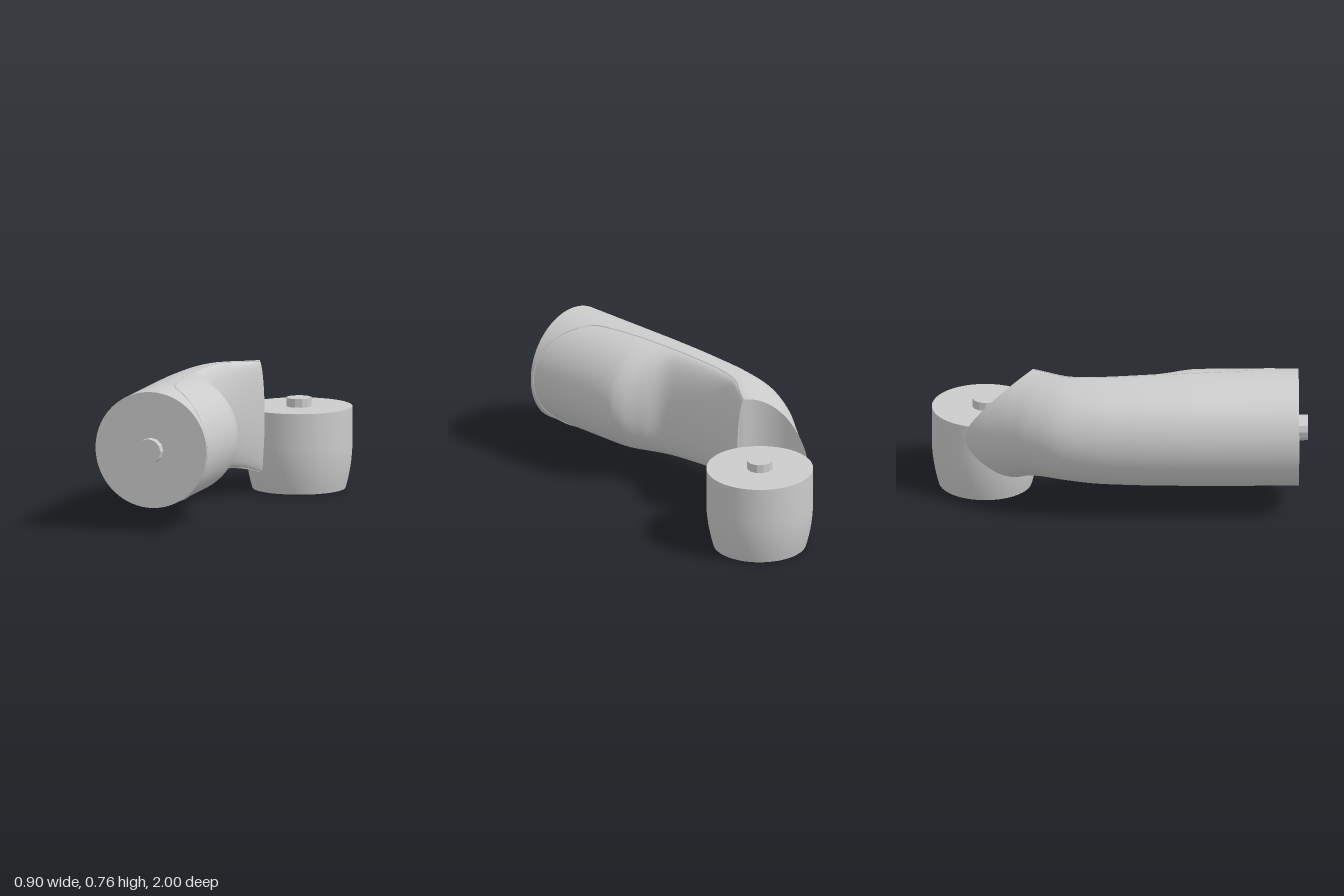
import * as THREE from 'three';
import { toCreasedNormals } from 'three/addons/utils/BufferGeometryUtils.js';

const CUP = { x: 0.16, z: -0.715, r: 0.285, top: 0.44 };
const rad = THREE.MathUtils.degToRad;

// Arm stations: outer x,z | crest x,z | inner x,z | top y, bottom y
const STATIONS = [
  [-0.45, 0.95, -0.14, 0.95, 0.17, 0.95, 0.755, 0.13],
  [-0.45, 0.70, -0.14, 0.70, 0.17, 0.70, 0.755, 0.13],
  [-0.45, 0.45, -0.14, 0.45, 0.17, 0.43, 0.755, 0.13],
  [-0.45, 0.36, -0.142, 0.36, 0.145, 0.34, 0.754, 0.132],
  [-0.449, 0.27, -0.145, 0.27, 0.07, 0.26, 0.752, 0.134],
  [-0.447, 0.18, -0.147, 0.18, -0.01, 0.17, 0.75, 0.136],
  [-0.443, 0.05, -0.15, 0.05, -0.038, 0.05, 0.745, 0.14],
  [-0.432, -0.15, -0.148, -0.13, -0.055, -0.12, 0.737, 0.148],
  [-0.40, -0.35, -0.12, -0.27, -0.055, -0.24, 0.729, 0.158],
  [-0.33, -0.50, -0.06, -0.36, -0.01, -0.34, 0.722, 0.15],
  [-0.26, -0.60, 0.00, -0.44, 0.035, -0.42, 0.716, 0.125],
  [-0.19, -0.70, 0.06, -0.54, 0.09, -0.52, 0.71, 0.08],
  [-0.10, -0.83, 0.13, -0.66, 0.15, -0.65, 0.705, 0.04],
  [-0.01, -0.93, 0.20, -0.78, 0.21, -0.77, 0.70, 0.02],
];
const LAST = STATIONS.length - 1;

// Smooth interpolation between stations
function station(t) {
  const i = Math.min(Math.floor(t), LAST - 1), f = t - i;
  const row = (k) => STATIONS[Math.max(0, Math.min(LAST, k))];
  return row(i).map((p1, k) => {
    const p0 = row(i - 1)[k], p2 = row(i + 1)[k], p3 = row(i + 2)[k];
    const m0 = (p2 - p0) / 2, m1 = (p3 - p1) / 2;
    return p1 + f * (m0 + f * (3 * (p2 - p1) - 2 * m0 - m1 + f * (2 * (p1 - p2) + m0 + m1)));
  });
}

// Point on the arm skin; angle 0 is the inner side, 90 degrees the crest
function armPoint(t, angle) {
  const [ox, oz, cx, cz, ix, iz, top, bottom] = station(t);
  const c = Math.cos(angle), k = Math.abs(c);
  const [sx, sz] = c > 0 ? [ix, iz] : [ox, oz];
  return new THREE.Vector3(
    cx + k * (sx - cx),
    (top + bottom) / 2 + Math.sin(angle) * (top - bottom) / 2,
    cz + k * (sz - cz)
  );
}

const cupRadius = (y) => CUP.r - 0.037 * Math.max(0, 1 - y / 0.25) ** 2;

// Station at which a line of the skin meets the cup
function armEnd(angle) {
  const inside = (t) => {
    const p = armPoint(t, angle);
    return Math.hypot(p.x - CUP.x, p.z - CUP.z) < cupRadius(p.y) + 0.001;
  };
  let hi = 7;
  while (hi < LAST && !inside(hi)) hi = Math.min(LAST, hi + 0.05);
  let lo = hi - 0.05;
  for (let i = 0; i < 16; i++) {
    const mid = (lo + hi) / 2;
    if (inside(mid)) hi = mid; else lo = mid;
  }
  return hi;
}

// Arm skin, trimmed against the cup, plus the curved face of the trim
function armGeometries(rows = 80, sides = 72) {
  const pos = [], skin = [], endPos = [], endFace = [];
  const angles = Array.from({ length: sides + 1 }, (_, j) => (j / sides) * Math.PI * 2);
  const ends = angles.map(armEnd);
  for (let i = 0; i <= rows; i++) {
    angles.forEach((a, j) => {
      const p = armPoint((ends[j] * i) / rows, a);
      pos.push(p.x, p.y, p.z);
      if (i === rows) endPos.push(p.x, p.y, p.z);
    });
  }
  const w = sides + 1;
  for (let i = 0; i < rows; i++) {
    for (let j = 0; j < sides; j++) {
      const a = i * w + j, b = a + w;
      skin.push(a, b, a + 1, a + 1, b, b + 1);
    }
  }
  for (let j = 0; j < sides / 2; j++) {
    const a = j, b = j + 1, c = sides - j, d = sides - j - 1;
    endFace.push(a, c, b, b, c, d);
  }
  const build = (p, index) => {
    const g = new THREE.BufferGeometry();
    g.setAttribute('position', new THREE.Float32BufferAttribute(p, 3));
    g.setIndex(index);
    g.computeVertexNormals();
    return g;
  };
  return [toCreasedNormals(build(pos, skin), rad(40)), build(endPos, endFace)];
}

// Panel seam: along the crest, round the bulge near the front, back underneath
function seamGeometry() {
  const half = [[0.24, 31], [0.55, 58], [0.92, 78], [1.4, 84], [2, 87]];
  const end = armEnd(rad(88));
  for (let t = 2.5; t < end; t += 0.5) half.push([t, 88]);
  half.push([end, 88]);
  const points = [
    ...half.slice().reverse().map(([t, d]) => armPoint(t, rad(d))),
    armPoint(0.12, 0),
    ...half.map(([t, d]) => armPoint(t, rad(-d))),
  ];
  return new THREE.TubeGeometry(new THREE.CatmullRomCurve3(points), 220, 0.004, 6);
}

// Cup with a shallow socket underneath
function cupGeometry() {
  const profile = [[0, 0.025], [0.155, 0.025], [0.155, 0]];
  for (let i = 0; i <= 8; i++) {
    const y = (i / 8) * 0.25;
    profile.push([cupRadius(y), y]);
  }
  profile.push([CUP.r, CUP.top], [0, CUP.top]);
  const g = new THREE.LatheGeometry(profile.map(([x, y]) => new THREE.Vector2(x, y)), 48);
  return toCreasedNormals(g, rad(35));
}

export function createModel() {
  const model = new THREE.Group();
  const grey = new THREE.MeshStandardMaterial({ color: 0xcccccc });
  const greyDouble = new THREE.MeshStandardMaterial({ color: 0xcccccc, side: THREE.DoubleSide });
  const add = (name, geometry, x = 0, y = 0, z = 0, material = grey) => {
    const mesh = new THREE.Mesh(geometry, material);
    mesh.name = name;
    mesh.position.set(x, y, z);
    model.add(mesh);
    return mesh;
  };

  // Curved arm
  const [skin, endFace] = armGeometries();
  add('arm', skin);
  add('armEndFace', endFace, 0, 0, 0, greyDouble);
  add('panelSeam', seamGeometry());
  add('frontDisc', new THREE.CircleGeometry(1, 72), -0.14, 0.4425, 0.95).scale.set(0.31, 0.3125, 1);

  // Joint cup
  add('jointCup', cupGeometry(), CUP.x, 0, CUP.z);

  // Shaft pins
  const pin = toCreasedNormals(new THREE.CylinderGeometry(0.069, 0.069, 0.07, 12), rad(25));
  add('cupPin', pin, CUP.x, 0.451, CUP.z);
  add('frontPin', pin, -0.14, 0.44, 0.965).rotation.x = Math.PI / 2;

  return model;
}
